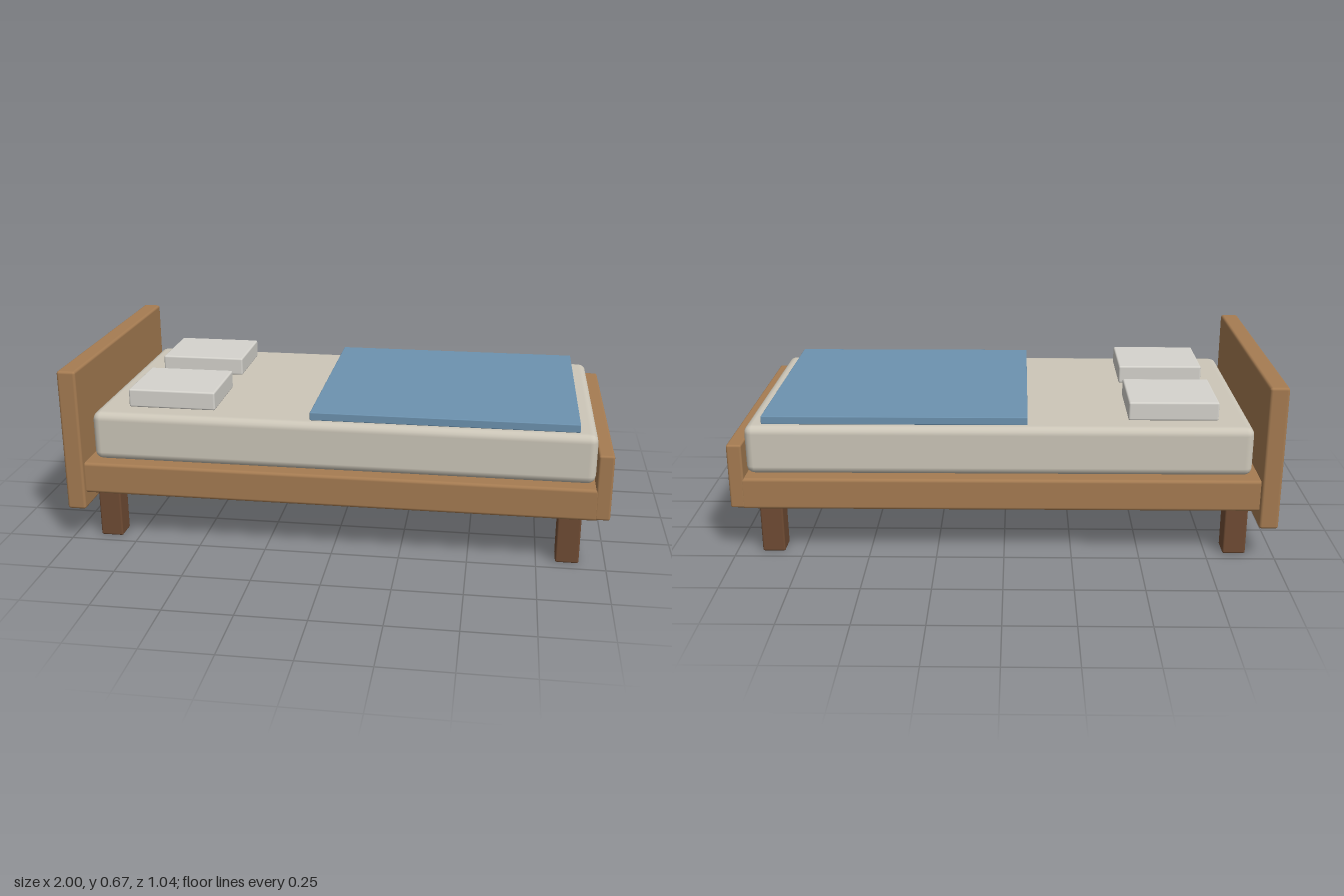
import * as THREE from 'three';
import { RoundedBoxGeometry } from 'three/addons/geometries/RoundedBoxGeometry.js';

const material = (color) => new THREE.MeshStandardMaterial({ color });

// Soft-edged box given by its extents along each axis
function block(name, [x0, x1], [y0, y1], [z0, z1], bevel, mat) {
  const geometry = new RoundedBoxGeometry(x1 - x0, y1 - y0, z1 - z0, 2, bevel);
  const mesh = new THREE.Mesh(geometry, mat);
  mesh.name = name;
  mesh.position.set((x0 + x1) / 2, (y0 + y1) / 2, (z0 + z1) / 2);
  return mesh;
}

export function createModel() {
  const bed = new THREE.Group();
  bed.name = 'bed';

  const wood = material(0xa67c52);
  const darkWood = material(0x704c34);
  const mattressCloth = material(0xcdc7b9);
  const pillowCloth = material(0xd6d4ce);
  const blanketCloth = material(0x6d93b0);

  // Wooden frame with its two end boards
  bed.add(
    block('frame', [-0.94, 0.96], [0.19, 0.31], [-0.5, 0.5], 0.012, wood),
    block('headboard', [-1, -0.93], [0.13, 0.67], [-0.52, 0.52], 0.01, wood),
    block('footboard', [0.945, 1], [0.195, 0.44], [-0.5, 0.5], 0.008, wood),
  );

  // Bedding
  bed.add(
    block('mattress', [-0.905, 0.945], [0.31, 0.495], [-0.46, 0.46], 0.03, mattressCloth),
    block('blanket', [-0.085, 0.88], [0.5, 0.53], [-0.442, 0.442], 0.003, blanketCloth),
  );

  // Mirrored pillows and legs
  for (const side of [1, -1]) {
    const sideName = side > 0 ? 'Front' : 'Back';
    const span = (a, b) => (side > 0 ? [a, b] : [-b, -a]);
    bed.add(
      block('pillow' + sideName, [-0.785, -0.455], [0.495, 0.565], span(0.082, 0.372), 0.007, pillowCloth),
      block('headLeg' + sideName, [-0.9, -0.815], [0, 0.2], span(0.372, 0.457), 0.007, darkWood),
      block('footLeg' + sideName, [0.82, 0.905], [0, 0.2], span(0.372, 0.457), 0.007, darkWood),
    );
  }
  return bed;
}
